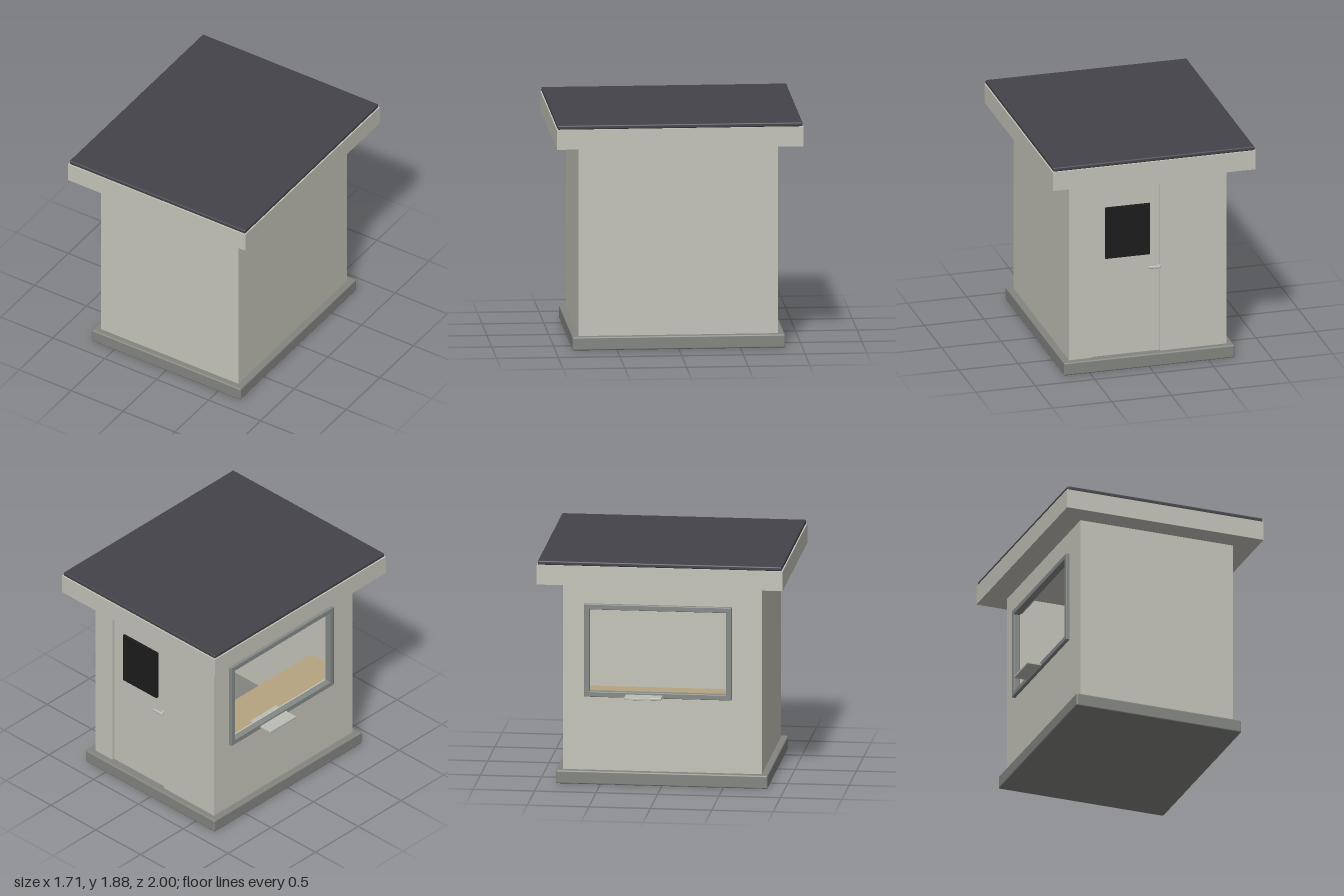
import * as THREE from 'three';
import { RoundedBoxGeometry } from 'three/addons/geometries/RoundedBoxGeometry.js';

const material = (name, color) => {
  const m = new THREE.MeshStandardMaterial({ color });
  m.name = name;
  return m;
};

export function createModel() {
  const wall = material('pale wall', 0xc5c4ba);
  const concrete = material('concrete', 0x838580);
  const roofing = material('dark roofing', 0x444349);
  const frameGrey = material('frame grey', 0x858a87);
  const glass = material('dark glass', 0x1c1c1c);
  const wood = material('desk wood', 0xb5a480);
  const metal = material('metal', 0xbdbdb7);

  const model = new THREE.Group();
  model.name = 'guardBooth';

  // Box given by its limits on each axis, with optional rounded edges
  const box = (name, mat, [x0, x1], [y0, y1], [z0, z1], radius = 0, parent = model) => {
    const size = [x1 - x0, y1 - y0, z1 - z0];
    const geometry = radius
      ? new RoundedBoxGeometry(...size, 2, radius)
      : new THREE.BoxGeometry(...size);
    const mesh = new THREE.Mesh(geometry, mat);
    mesh.name = name;
    mesh.position.set((x0 + x1) / 2, (y0 + y1) / 2, (z0 + z1) / 2);
    parent.add(mesh);
    return mesh;
  };
  const group = (name) => {
    const g = new THREE.Group();
    g.name = name;
    model.add(g);
    return g;
  };

  const X = 0.662, Z = 0.809, T = 0.05;   // wall half sizes and thickness
  const base = 0.11, top = 1.68;

  // Base slab and roof
  box('baseSlab', concrete, [-0.717, 0.717], [0, base], [-0.862, 0.862], 0.012);
  box('roofFascia', wall, [-0.853, 0.853], [top, 1.842], [-1, 1]);
  box('roofTop', roofing, [-0.846, 0.846], [1.842, 1.876], [-0.993, 0.993], 0.01);

  // Plain front and left walls
  box('frontWall', wall, [-X, X], [base, top], [Z - T, Z]);
  box('leftWall', wall, [X - T, X], [base, top], [-Z + T, Z - T]);

  // Back wall around the doorway
  const door = [-0.105, 0.472], doorTop = 1.57;
  const back = group('backWall');
  const backZ = [-Z, -Z + T];
  box('backWallRight', wall, [-X, door[0]], [base, top], backZ, 0, back);
  box('backWallLeft', wall, [door[1], X], [base, top], backZ, 0, back);
  box('doorHeader', wall, door, [doorTop, top], backZ, 0, back);

  // Door with pane and lever handle
  const doorGroup = group('door');
  const doorZ = -Z + 0.02;
  box('doorLeaf', wall, door, [base, doorTop], [doorZ, -Z + T], 0, doorGroup);
  box('doorPaneBacking', glass, [-0.02, 0.355], [0.96, 1.4], [-Z - 0.003, doorZ], 0, doorGroup);
  box('doorHandle', metal, [-0.105, 0], [0.838, 0.86], [-0.836, -0.816], 0.008, doorGroup);
  box('handleStem', metal, [-0.1, -0.08], [0.84, 0.858], [-0.82, doorZ], 0, doorGroup);

  // Right wall around the service window
  const sill = 0.75, head = 1.465, opening = [-0.605, 0.535];
  const right = group('rightWall');
  const rightX = [-X, -X + T];
  box('wallBelowWindow', wall, rightX, [base, sill], [-Z + T, Z - T], 0, right);
  box('wallAboveWindow', wall, rightX, [head, top], [-Z + T, Z - T], 0, right);
  box('wallBehindWindow', wall, rightX, [sill, head], [-Z + T, opening[0]], 0, right);
  box('wallBeforeWindow', wall, rightX, [sill, head], [opening[1], Z - T], 0, right);

  // Window frame standing proud of the wall
  const frame = group('windowFrame');
  const frameX = [-0.69, -0.635], bar = 0.045;
  const [fz0, fz1, fy0, fy1] = [-0.635, 0.565, 0.72, 1.49];
  for (const y of [fy0, fy1 - bar])
    box('frameRail', frameGrey, frameX, [y, y + bar], [fz0, fz1], 0.006, frame);
  for (const z of [fz0, fz1 - bar])
    box('frameStile', frameGrey, frameX, [fy0, fy1], [z, z + bar], 0.006, frame);

  // Pass-through tray and inner desk
  box('serviceTray', metal, [-0.803, -0.575], [0.728, 0.748], [-0.297, 0.005], 0.004);
  box('desk', wood, [-X + T, -0.25], [0.675, 0.71], [-Z + T, Z - T]);

  return model;
}
